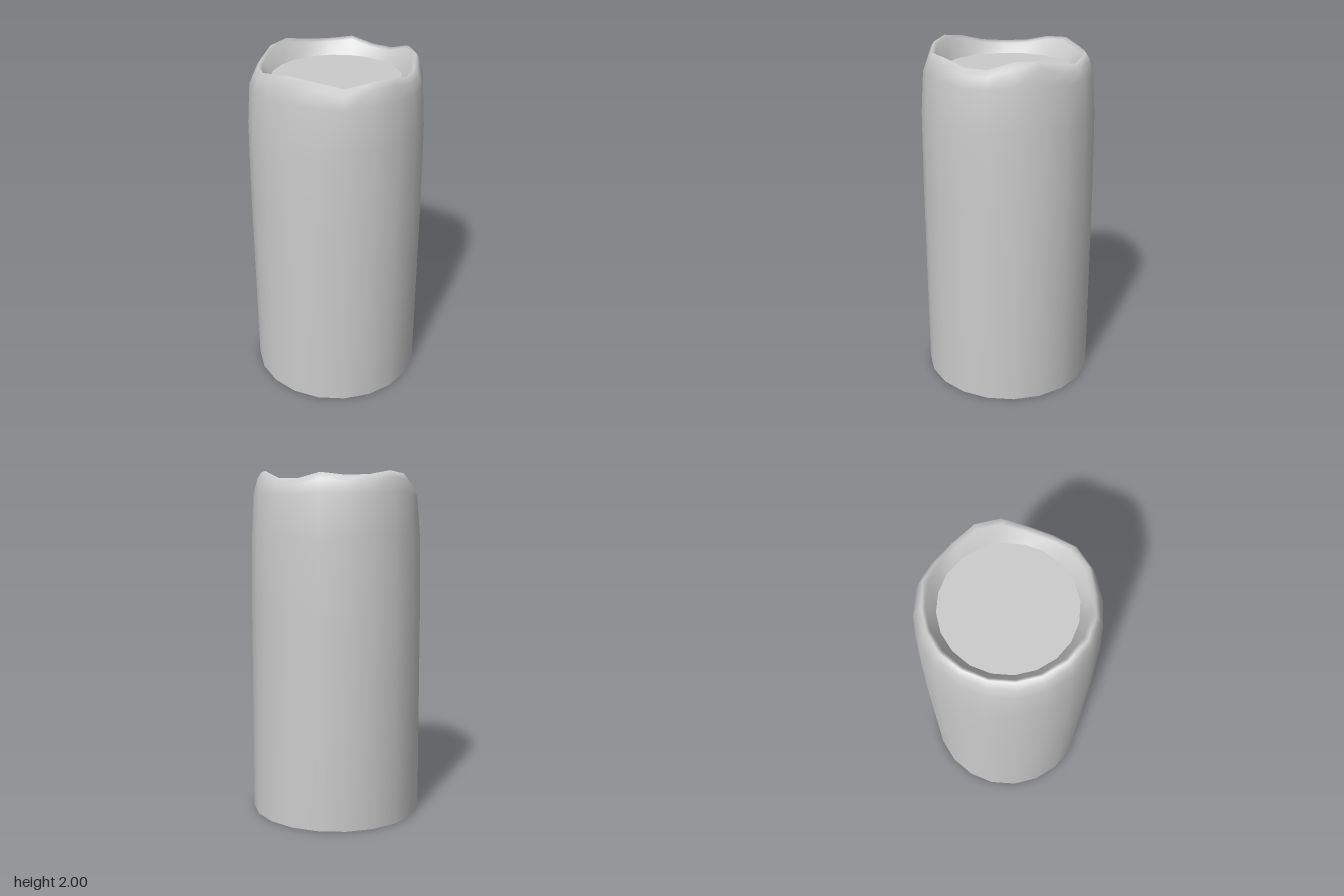
import * as THREE from 'three';

const SIDES = 20;
const FLOOR = 1.87;
const FLOOR_RADIUS = 0.36;

// Height of the melted rim at each side, starting at the front and turning to +x
const RIM = [1.95, 1.975, 1.975, 1.94, 1.94, 1.985, 1.985, 1.94, 1.935, 1.965,
  1.95, 1.955, 1.98, 1.97, 1.94, 1.935, 1.945, 1.98, 2.0, 1.985];

// Cross-section [radius, height] from the base, over the rim, down to the pool
function profile(h) {
  const d = h - 1.95;
  return [
    [0.5, 0], [0.498, 1.2], [0.492, 1.62],
    [0.475 + d * 0.1, 1.85 + d * 0.4],
    [0.45 + d * 0.2, h - 0.035],
    [0.425 + d * 0.3, h],
    [0.405 + d * 0.2, h - 0.015],
    [FLOOR_RADIUS, FLOOR],
  ];
}

// Smooth skin joined through all the cross-sections, open at the base
function shellGeometry() {
  const positions = [];
  const index = [];
  const rings = profile(2).length;
  RIM.forEach((h, i) => {
    const a = (i / SIDES) * Math.PI * 2;
    for (const [r, y] of profile(h)) positions.push(r * Math.sin(a), y, r * Math.cos(a));
    const here = i * rings;
    const next = ((i + 1) % SIDES) * rings;
    for (let j = 0; j < rings - 1; j++) {
      index.push(here + j, next + j, next + j + 1, here + j, next + j + 1, here + j + 1);
    }
  });
  const geometry = new THREE.BufferGeometry();
  geometry.setAttribute('position', new THREE.Float32BufferAttribute(positions, 3));
  geometry.setIndex(index);
  geometry.computeVertexNormals();
  return geometry;
}

export function createModel() {
  const group = new THREE.Group();
  group.name = 'candle';
  const material = new THREE.MeshStandardMaterial({ color: 0xcccccc, side: THREE.DoubleSide });

  // Wax wall with its uneven rim
  const wall = new THREE.Mesh(shellGeometry(), material);
  wall.name = 'waxWall';

  // Flat pool inside the rim
  const pool = new THREE.Mesh(new THREE.CircleGeometry(FLOOR_RADIUS, SIDES), material);
  pool.name = 'waxPool';
  pool.rotation.x = -Math.PI / 2;
  pool.position.y = FLOOR;

  group.add(wall, pool);
  return group;
}
